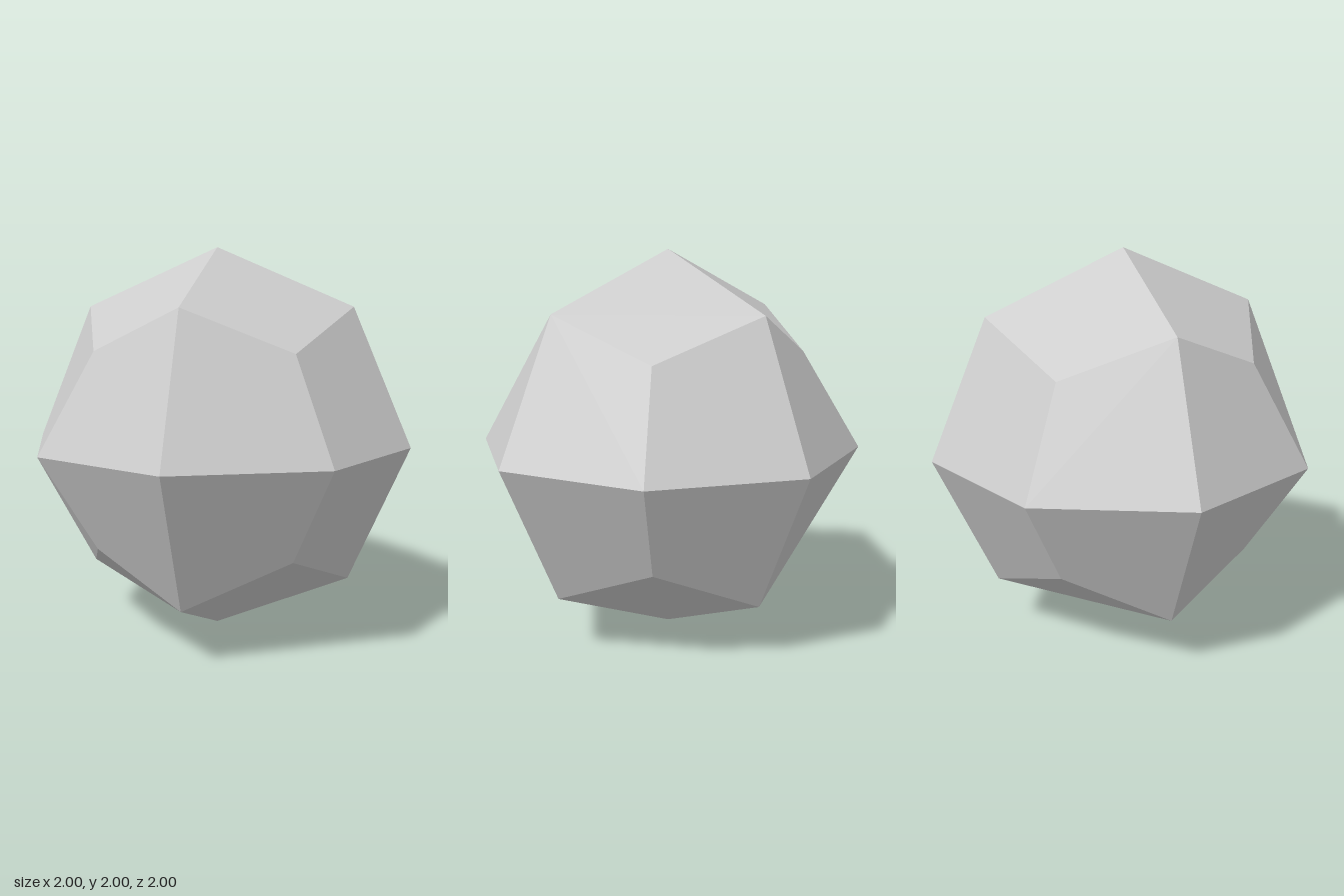
import * as THREE from 'three';

// Distances along each axis of the edge corners and the eight-octant corners
const EDGE = 0.7;
const CORNER = 0.49;

// Point with the given signed amounts along the three axes
const point = (signs, amounts) => new THREE.Vector3(...signs.map((s, i) => s * amounts[i]));

// 24 kite facets: three per octant, one around each axis tip
function buildFacets() {
  const positions = [], normals = [];
  for (const sx of [1, -1]) for (const sy of [1, -1]) for (const sz of [1, -1]) {
    const signs = [sx, sy, sz];
    for (let axis = 0; axis < 3; axis++) {
      const next = (axis + 1) % 3, last = (axis + 2) % 3;
      const amounts = (a, b, c) => {
        const v = [0, 0, 0];
        v[axis] = a; v[next] = b; v[last] = c;
        return v;
      };
      const tip = point(signs, amounts(1, 0, 0));
      const inner = point(signs, amounts(CORNER, CORNER, CORNER));
      let a = point(signs, amounts(EDGE, EDGE, 0));
      let c = point(signs, amounts(EDGE, 0, EDGE));
      if (sx * sy * sz < 0) [a, c] = [c, a]; // keep mirrored facets facing outward

      // One shared normal per kite keeps each facet evenly shaded
      const normal = inner.clone().sub(tip).cross(c.clone().sub(a)).normalize();
      if (normal.dot(tip) < 0) normal.negate();
      for (const p of [tip, a, c, a, inner, c]) {
        positions.push(p.x, p.y, p.z);
        normals.push(normal.x, normal.y, normal.z);
      }
    }
  }
  const geometry = new THREE.BufferGeometry();
  geometry.setAttribute('position', new THREE.Float32BufferAttribute(positions, 3));
  geometry.setAttribute('normal', new THREE.Float32BufferAttribute(normals, 3));
  return geometry;
}

export function createModel() {
  const group = new THREE.Group();
  group.name = 'facetedBall';
  const grey = new THREE.MeshStandardMaterial({ color: 0xcccccc });
  grey.name = 'lightGrey';

  const ball = new THREE.Mesh(buildFacets(), grey);
  ball.name = 'kiteFacets';
  ball.position.y = 1;
  group.add(ball);
  return group;
}
